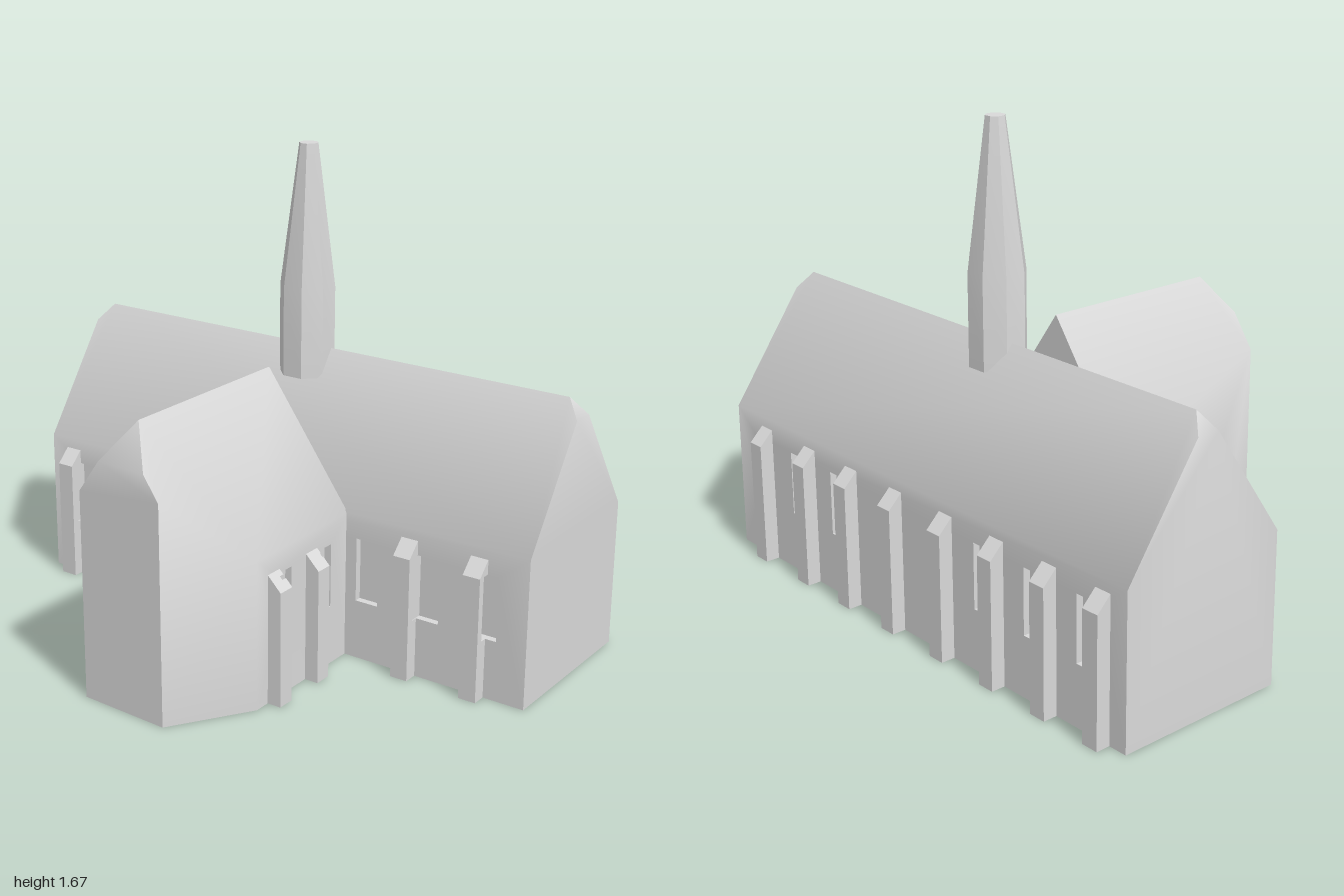
import * as THREE from 'three';
import { mergeGeometries, toCreasedNormals } from 'three/addons/utils/BufferGeometryUtils.js';
import { ConvexGeometry } from 'three/addons/geometries/ConvexGeometry.js';

const RIDGE = 0.965;
const SILL = 0.21, LINTEL = 0.435;   // window heights
const WINDOW = 0.086, RECESS = 0.025; // window width and depth
const HALF = 0.0315;                 // half a buttress width

// A wall faces +z at distance `out`, then turns; u runs along it.
const placed = (geometry, wall) => geometry.translate(0, 0, wall.out).rotateY(wall.turn);

function polygon(points) {
  return new THREE.Shape(points.map(([x, y]) => new THREE.Vector2(x, y)));
}

// Wall panel with a hole for every window
function wallPanel(wall) {
  const { u0, u1, top, windows } = wall;
  const shape = polygon([[u0, 0], [u1, 0], [u1, top], [u0, top]]);
  const a = WINDOW / 2;
  for (const u of windows) {
    shape.holes.push(polygon([[u - a, SILL], [u - a, LINTEL], [u + a, LINTEL], [u + a, SILL]]));
  }
  const panel = new THREE.ShapeGeometry(shape).toNonIndexed();
  panel.deleteAttribute('uv');
  return placed(panel, wall);
}

// Hull around corner points, with its plain walls swapped for panels with holes
function building(points, walls) {
  const source = new ConvexGeometry(points.map((p) => new THREE.Vector3(...p))).attributes.position;
  const normals = walls.map((w) => new THREE.Vector3(Math.sin(w.turn), 0, Math.cos(w.turn)));
  const kept = [];
  for (let i = 0; i < source.count; i += 3) {
    const tri = [0, 1, 2].map((k) => new THREE.Vector3().fromBufferAttribute(source, i + k));
    const onWall = walls.some((w, n) => tri.every((v) => Math.abs(v.dot(normals[n]) - w.out) < 1e-4));
    if (!onWall) tri.forEach((v) => kept.push(v));
  }
  const shell = new THREE.BufferGeometry().setFromPoints(kept);
  shell.computeVertexNormals();
  return toCreasedNormals(mergeGeometries([shell, ...walls.map(wallPanel)]), 0.85);
}

// Sill, lintel, jambs and back of a window: a box turned inside out, open in front
function windowRecess(u, wall) {
  const box = new THREE.BoxGeometry(WINDOW, LINTEL - SILL, RECESS);
  const index = [...box.index.array];
  box.setIndex([...index.slice(0, 24), ...index.slice(30)].reverse());
  box.translate(u, (SILL + LINTEL) / 2, -RECESS / 2);
  return placed(toCreasedNormals(box, 0.1), wall);
}

// Buttress with a sloping top; a neighbouring window bites into its side
function buttress(u, wall) {
  const { depth, low, high, side, windows } = wall;
  const bite = Math.max(0, ...windows
    .filter((w) => Math.abs(w - u) < 0.1)
    .map((w) => HALF + WINDOW / 2 - Math.abs(w - u)));
  const slopeY = (d) => high + (low - high) * d / depth;
  const base = [[0, 0], [depth, 0], [depth, low]];
  const full = [polygon([...base, [0, high]])];
  const bitten = slopeY(RECESS) > LINTEL
    ? [polygon([...base, [0, high], [0, LINTEL], [RECESS, LINTEL], [RECESS, SILL], [0, SILL]])]
    : [polygon([...base, [RECESS, slopeY(RECESS)], [RECESS, SILL], [0, SILL]]),
      polygon([[0, LINTEL], [depth * (high - LINTEL) / (high - low), LINTEL], [0, high]])];
  const slice = (shapes, from, to) =>
    new THREE.ExtrudeGeometry(shapes, { depth: to - from, bevelEnabled: false })
      .rotateY(-Math.PI / 2).translate(u + to, 0, 0);
  const cut = side * (HALF - bite);
  const parts = [side > 0 ? slice(full, -HALF, cut) : slice(full, cut, HALF)];
  if (bite > 0) parts.push(side > 0 ? slice(bitten, cut, HALF) : slice(bitten, -HALF, cut));
  return placed(mergeGeometries(parts), wall);
}

export function createModel() {
  const model = new THREE.Group();
  model.name = 'church';
  const stone = new THREE.MeshStandardMaterial({ color: 0xd9d9d9 });
  stone.name = 'paleGrey';
  const add = (name, geometry) => {
    const mesh = new THREE.Mesh(geometry, stone);
    mesh.name = name;
    model.add(mesh);
  };

  // Bays along the walls
  const naveWindows = [-0.833, -0.598, -0.363, 0.397, 0.632, 0.848];
  const frontBays = [-0.9, -0.67, -0.43, 0.56, 0.82];
  const backBays = [...frontBays, -0.183, 0.075, 0.319];
  const choirWindows = [0.08, 0.305], choirBays = [0.15, 0.36];
  const flip = (list) => list.map((v) => -v);

  const naveWall = { u0: -1, u1: 1, top: 0.52, depth: 0.05, low: 0.435, high: 0.485 };
  const front = { ...naveWall, name: 'front', turn: 0, out: -0.053, side: 1,
    windows: naveWindows, bays: frontBays };
  const back = { ...naveWall, name: 'back', turn: Math.PI, out: 0.672, side: -1,
    windows: flip(naveWindows), bays: flip(backBays) };

  const ridgeX = -0.012;
  const roofY = (x) => RIDGE - 1.385 * Math.abs(x - ridgeX);
  const choirWall = { low: 0.4, high: 0.45 };
  const left = { ...choirWall, name: 'choirLeft', turn: Math.PI / 2, out: 0.312, side: 1, depth: 0.05,
    u0: -0.45, u1: 0.06, top: roofY(0.312), windows: flip(choirWindows), bays: flip(choirBays) };
  const right = { ...choirWall, name: 'choirRight', turn: -Math.PI / 2, out: 0.335, side: -1, depth: 0.06,
    u0: -0.06, u1: 0.42, top: roofY(-0.335), windows: choirWindows, bays: choirBays };

  // Nave: long gabled hall with clipped ridge ends
  const nave = [];
  for (const s of [-1, 1]) {
    for (const z of [-0.672, -0.053]) nave.push([s, 0, z], [s, 0.52, z]);
    nave.push([s, 0.905, -0.404], [s, 0.905, -0.321], [s * 0.95, RIDGE, -0.3625]);
  }
  add('nave', building(nave, [front, back]));

  // Choir: gabled wing ending in a faceted front cut by its walls
  const plan = [[-0.335, -0.06], [-0.335, 0.42], [-0.19, 0.703], [0.14, 0.717], [0.312, 0.45], [0.312, -0.06]];
  const choir = [[ridgeX, RIDGE, -0.06], [ridgeX, RIDGE, 0.62]];
  for (const [x, z] of plan) choir.push([x, 0, z], [x, roofY(x), z]);
  for (const x of [-0.105, 0.081]) choir.push([x, roofY(x), 0.711 + x * 0.042]);
  add('choir', building(choir, [left, right]));

  // Windows and buttresses on all four walls
  for (const wall of [front, back, left, right]) {
    for (const u of wall.windows) add(wall.name + 'Window', windowRecess(u, wall));
    for (const u of wall.bays) add(wall.name + 'Buttress', buttress(u, wall));
  }

  // Octagonal ridge turret with tapering spire
  const profile = [[0, 0.87], [0.097, 0.87], [0.097, 1.18], [0.033, 1.675], [0, 1.675]]
    .map(([r, y]) => new THREE.Vector2(r, y));
  const spire = new THREE.LatheGeometry(profile, 8, Math.PI / 8);
  add('spire', toCreasedNormals(spire, 0.7).translate(-0.055, 0, -0.345));

  return model;
}
